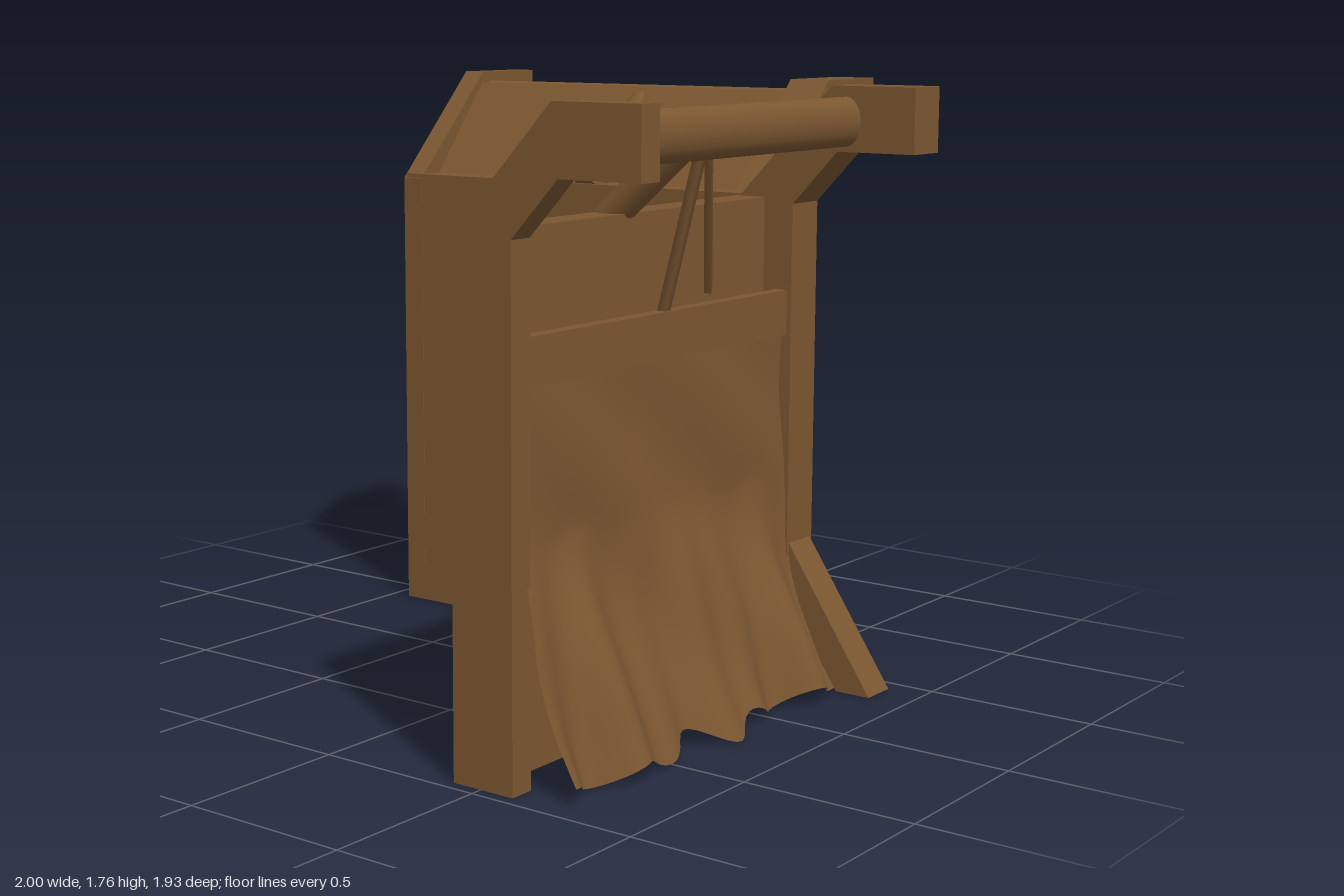
import * as THREE from 'three';

const flat = (name, color) => {
  const m = new THREE.MeshStandardMaterial({ color });
  m.name = name;
  return m;
};

export function createModel() {
  const wood = flat('brown wood', 0x7c5731);
  const hide = flat('brown hanging hide', 0x7c5731);
  hide.side = THREE.DoubleSide;
  const iron = flat('grey iron', 0x59626d);
  const glass = flat('pale green glass', 0x93aea6);
  const copper = flat('copper', 0x92592f);

  const model = new THREE.Group();
  model.name = 'cornerPalisade';

  const add = (parent, name, geo, mat, x = 0, y = 0, z = 0) => {
    const m = new THREE.Mesh(geo, mat);
    m.name = name;
    m.position.set(x, y, z);
    parent.add(m);
    return m;
  };
  // Box given by its lower and upper corners
  const block = (parent, name, mat, a, b) =>
    add(parent, name, new THREE.BoxGeometry(b[0] - a[0], b[1] - a[1], b[2] - a[2]), mat,
      (a[0] + b[0]) / 2, (a[1] + b[1]) / 2, (a[2] + b[2]) / 2);
  // Round or square rod between two points
  const rod = (parent, name, mat, a, b, r, sides = 16) => {
    const p = new THREE.Vector3(...a), q = new THREE.Vector3(...b);
    const m = add(parent, name, new THREE.CylinderGeometry(r, r, p.distanceTo(q), sides), mat);
    m.position.copy(p).add(q).multiplyScalar(0.5);
    m.quaternion.setFromUnitVectors(new THREE.Vector3(0, 1, 0), q.sub(p).normalize());
    return m;
  };
  // Side profile (outward, up) extruded along the wall from s0 to s1
  const slab = (parent, name, pts, s0, s1) => {
    const shape = new THREE.Shape(pts.map(p => new THREE.Vector2(...p)));
    return add(parent, name, new THREE.ExtrudeGeometry(shape, { depth: s1 - s0, bevelEnabled: false }),
      wood, 0, 0, s0);
  };

  const postProfile = [[0, 0], [0.195, 0], [0.195, 1.42], [0.34, 1.575], [0.585, 1.575],
    [0.585, 1.76], [0.32, 1.76], [0, 1.42]];
  const stakeProfile = [[0.195, 0.25], [0.365, 0], [0.475, 0], [0.195, 0.42]];

  // Hanging hide: nearly upright above, flaring into folds at the hem
  const hideGeometry = (s0, s1, seed) => {
    const geo = new THREE.PlaneGeometry(1, 1, 60, 30);
    const p = geo.attributes.position;
    for (let i = 0; i < p.count; i++) {
      const u = 0.5 - p.getX(i), t = 0.5 - p.getY(i);
      const flare = Math.max(0, (t - 0.4) / 0.6);
      const fold = Math.sin(u * 19 + seed + 2 * t) * 0.6 + Math.sin(u * 37 + seed * 2.3) * 0.4;
      const bulge = Math.sin(u * 11 + t * 9 + seed) * 0.018 * Math.sin(Math.PI * t);
      const hem = 0.025 + 0.025 * Math.sin(u * 29 + seed);
      const spread = 0.035 * Math.min(1, flare * 2);
      const d = 0.165 + 0.19 * Math.pow(flare, 1.4) + 0.055 * fold * flare + bulge;
      p.setXYZ(i, d, 1.05 - t * (1.05 - hem), s0 - spread + u * (s1 - s0 + 2 * spread));
    }
    geo.computeVertexNormals();
    return geo;
  };

  // One wall: local x points outward, local z runs along it
  const wall = (name, board, posts, braceAt, stakes, seed) => {
    const g = new THREE.Group();
    g.name = name;
    const s0 = posts[0][1], s1 = posts[1][0];
    block(g, 'wallBoard', wood, [0.001, 0, board[0]], [0.1, 1.435, board[1]]);
    posts.forEach(([a, b]) => slab(g, 'bentPost', postProfile, a, b));
    stakes.forEach(([a, b]) => slab(g, 'footStake', stakeProfile, a, b));
    const log = rod(g, 'topLog', wood, [0.365, 1.66, s0], [0.365, 1.66, s1], 0.07, 24);
    log.scale.x = 0.7;
    add(g, 'hide', hideGeometry(s0, s1, seed), hide);
    rod(g, 'slopingBrace', wood, [0.03, 1.42, braceAt], [0.33, 1.68, braceAt], 0.045);
    // Thin struts fanning from the brace down to the hide rail
    rod(g, 'strut', wood, [0.31, 1.6, braceAt - 0.06], [0.15, 1.2, braceAt - 0.3], 0.014, 4);
    rod(g, 'strut', wood, [0.31, 1.6, braceAt - 0.02], [0.15, 1.15, braceAt - 0.08], 0.018, 4);
    model.add(g);
    return g;
  };

  // Back wall with its roof panel and log rail
  const back = wall('backWall', [-0.93, 0.41], [[-0.94, -0.865], [0.35, 0.485]], -0.205,
    [[-0.99, -0.93], [0.34, 0.45]], 1.3);
  back.rotation.y = Math.PI / 2;
  back.position.z = -0.385;
  slab(back, 'roofPanel', [[0.085, 1.43], [0.097, 1.43], [0.327, 1.72], [0.315, 1.725]], -0.865, 0.35);
  rod(back, 'hideRail', wood, [0.155, 1.11, -0.865], [0.155, 1.11, 0.35], 0.07, 24);

  // Side wall, open at the top, with a flat rail
  const side = wall('sideWall', [-0.385, 0.96], [[-0.455, -0.32], [0.89, 0.965]], 0.34,
    [[-0.445, -0.33]], 4.1);
  side.position.x = 0.41;
  block(side, 'hideRail', wood, [0.14, 1.04, -0.32], [0.18, 1.17, 0.89]);

  // Lantern on an iron bracket
  const lantern = new THREE.Group();
  lantern.name = 'lantern';
  lantern.position.set(-0.93, 0, -0.725);
  model.add(lantern);
  block(lantern, 'bracketPlate', iron, [-0.07, 1.21, 0.125], [0.06, 1.345, 0.146]);
  block(lantern, 'bracketStrip', iron, [-0.02, 1.13, 0.125], [0.02, 1.22, 0.146]);
  rod(lantern, 'bracketArm', iron, [0, 1.305, 0.14], [0, 1.305, 0], 0.01, 8);
  rod(lantern, 'bracketBrace', iron, [0, 1.19, 0.135], [0, 1.3, 0.03], 0.007, 8);
  rod(lantern, 'hanger', iron, [0, 1.31, 0], [0, 1.25, 0], 0.009, 8);
  const turned = (name, mat, pts) =>
    add(lantern, name, new THREE.LatheGeometry(pts.map(p => new THREE.Vector2(...p)), 16), mat);
  turned('lanternBase', copper, [[0, 1.05], [0.042, 1.05], [0.046, 1.07], [0.034, 1.08],
    [0.046, 1.088], [0.042, 1.1], [0, 1.1]]);
  turned('lanternGlass', glass, [[0.036, 1.1], [0.052, 1.175], [0, 1.175]]);
  turned('lanternCap', copper, [[0, 1.175], [0.064, 1.175], [0.062, 1.19], [0.032, 1.21], [0, 1.21]]);
  turned('lanternChimney', glass, [[0.026, 1.21], [0.028, 1.24], [0, 1.24]]);
  turned('lanternTop', copper, [[0, 1.24], [0.034, 1.24], [0.02, 1.26], [0, 1.265]]);

  return model;
}
